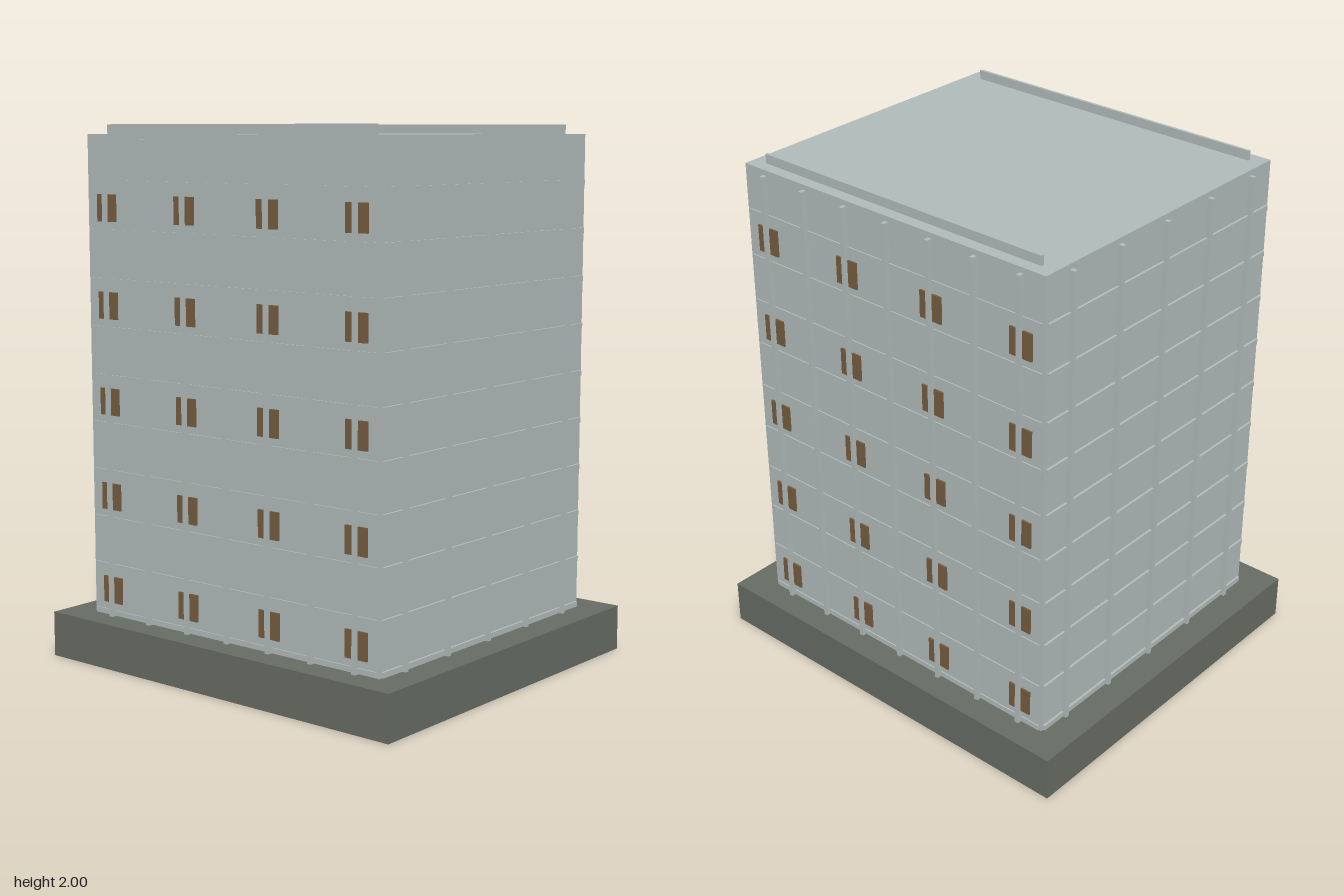
import * as THREE from 'three';

const wallMat = new THREE.MeshStandardMaterial({ name: 'pale concrete', color: 0xafbab8 });
const baseMat = new THREE.MeshStandardMaterial({ name: 'dark stone', color: 0x666b63 });
const windowMat = new THREE.MeshStandardMaterial({ name: 'bronze window', color: 0x755c3e });

const W = 1.366, D = 1.222, BASE_H = 0.17, ROOF = 1.965, RIB_TOP = 1.945;
const FLOORS = 10, FLOOR_H = 0.1785;

function box(parent, name, mat, w, h, d, x, y, z) {
  const mesh = new THREE.Mesh(new THREE.BoxGeometry(w, h, d), mat);
  mesh.name = name;
  mesh.position.set(x, y, z);
  parent.add(mesh);
  return mesh;
}

// One wall's trim, built facing +z and then turned into place
function facade(name, width, dist, ribCount, ribGap, bandDepth, hasWindows) {
  const g = new THREE.Group();
  g.name = name;
  const ribH = RIB_TOP - BASE_H;
  for (let i = 0; i < ribCount; i++) {
    const x = (i - (ribCount - 1) / 2) * ribGap;
    box(g, 'verticalRib', wallMat, 0.016, ribH, 0.02, x, BASE_H + ribH / 2, dist + 0.01);
    // Windows sit behind every second rib, on every second floor
    if (hasWindows && i % 2 === 0) {
      for (let f = 0; f < FLOORS; f += 2) {
        box(g, 'window', windowMat, 0.094, 0.1, 0.008, x, 0.27 + f * FLOOR_H, dist + 0.003);
      }
    }
  }
  // Thin floor bands
  for (let f = 0; f < FLOORS; f++) {
    box(g, 'floorBand', wallMat, width - 0.02, 0.02, bandDepth, 0, 0.182 + f * FLOOR_H, dist + bandDepth / 2);
  }
  return g;
}

export function createModel() {
  const model = new THREE.Group();
  model.name = 'towerBlock';
  const building = new THREE.Group();
  building.name = 'building';
  building.rotation.y = -0.0125; // slightly turned on its plot
  model.add(building);

  box(building, 'base', baseMat, 1.606, BASE_H, 1.436, 0, BASE_H / 2, 0);
  const towerH = ROOF - 0.01;
  box(building, 'tower', wallMat, W, towerH, D, 0, 0.01 + towerH / 2, 0);

  // Long walls with windows, short walls without
  for (const [side, turn] of [['front', 0], ['back', Math.PI]]) {
    const wall = facade(side + 'Facade', W, D / 2, 7, 0.195, 0.005, true);
    wall.rotation.y = turn;
    building.add(wall);
  }
  for (const [side, turn] of [['left', Math.PI / 2], ['right', -Math.PI / 2]]) {
    const wall = facade(side + 'Facade', D, W / 2, 5, 0.244, 0.009, false);
    wall.rotation.y = turn;
    building.add(wall);
  }

  // Low roof parapets along the front and back
  for (const s of [1, -1]) {
    box(building, 'roofParapet', wallMat, 1.253, 2 - ROOF, 0.011, 0, (2 + ROOF) / 2, s * 0.56);
  }
  return model;
}
